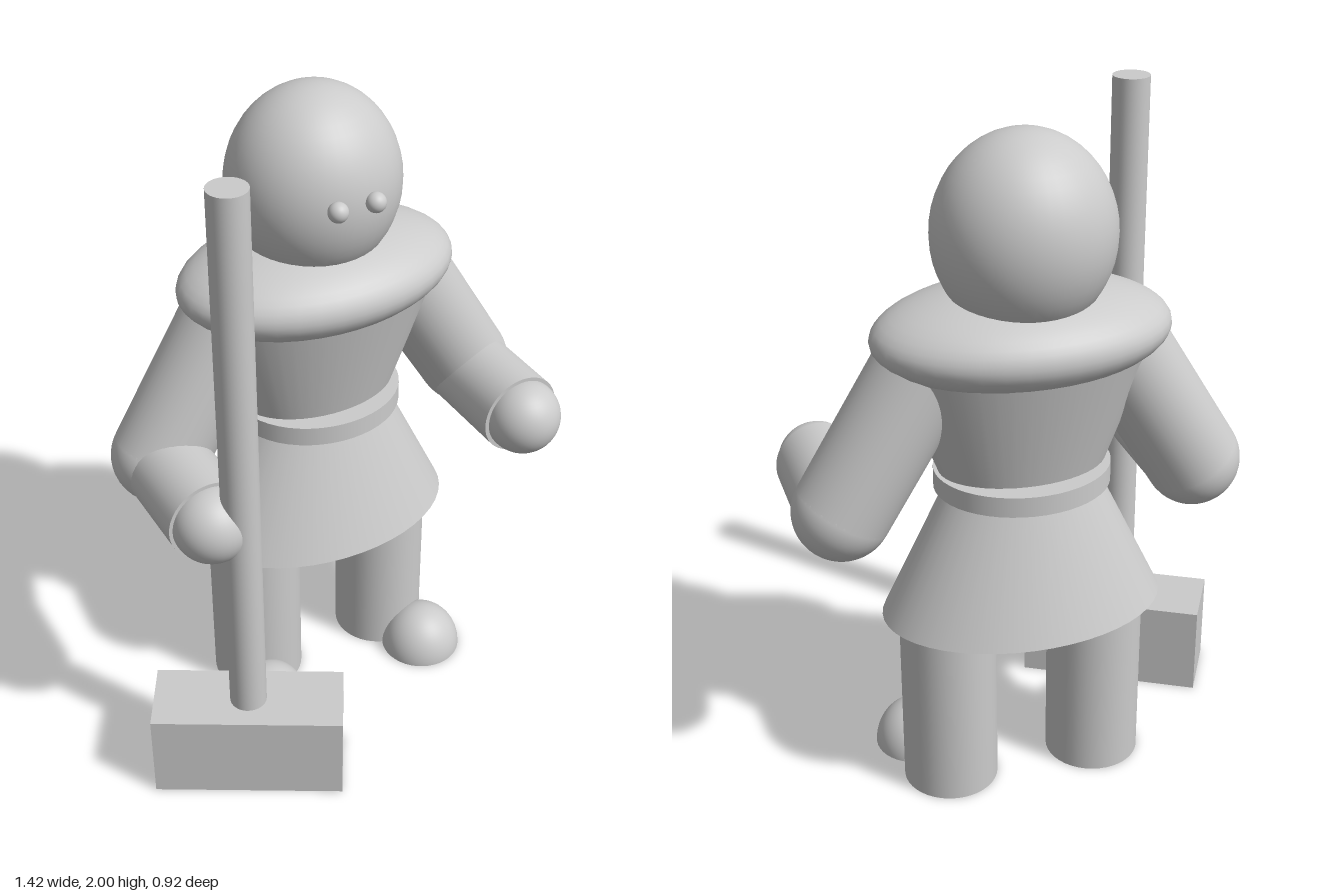
import * as THREE from 'three';

const CX = 0.047, CZ = -0.178; // axis of the body

export function createModel() {
  const group = new THREE.Group();
  const material = new THREE.MeshStandardMaterial({ color: 0xcccccc });

  function add(name, geometry, x, y, z) {
    const mesh = new THREE.Mesh(geometry, material);
    mesh.name = name;
    mesh.position.set(x, y, z);
    group.add(mesh);
    return mesh;
  }
  const ball = (name, x, y, z, rx, ry = rx, rz = rx) =>
    add(name, new THREE.SphereGeometry(1, 40, 24).scale(rx, ry, rz), x, y, z);

  // Oval frustum between two heights; depth is the ratio of z to x
  function frustum(name, y0, y1, r0, r1, depth) {
    const g = new THREE.CylinderGeometry(r1, r0, y1 - y0, 48).scale(1, 1, depth);
    return add(name, g, CX, (y0 + y1) / 2, CZ);
  }

  // Round bar between two points
  function bar(name, a, b, r) {
    const dir = b.clone().sub(a);
    const mid = a.clone().add(b).multiplyScalar(0.5);
    const mesh = add(name, new THREE.CylinderGeometry(r, r, dir.length(), 40), mid.x, mid.y, mid.z);
    mesh.quaternion.setFromUnitVectors(new THREE.Vector3(0, 1, 0), dir.normalize());
    return mesh;
  }

  // Head and trunk
  ball('head', CX, 1.72, -0.193, 0.253, 0.28, 0.241);
  ball('collar', CX, 1.438, CZ, 0.424, 0.14, 0.283);
  frustum('torso', 1.0, 1.44, 0.23, 0.396, 0.65);
  frustum('belt', 0.975, 1.035, 0.255, 0.255, 0.86);
  frustum('skirt', 0.58, 1.0, 0.417, 0.215, 0.68);

  // Mirrored parts
  for (const [side, s] of [['left', 1], ['right', -1]]) {
    const at = (x, y, z) => new THREE.Vector3(CX + s * x, y, z);
    ball(side + 'Eye', CX + s * 0.058, 1.745, 0.052, 0.029);

    // Arm bent forward at the elbow
    const elbow = at(0.523, 0.963, CZ);
    bar(side + 'UpperArm', at(0.262, 1.39, CZ), elbow, 0.141);
    ball(side + 'Elbow', elbow.x, elbow.y, elbow.z, 0.141);
    bar(side + 'Forearm', at(0.519, 0.95, CZ), at(0.519, 0.95, 0.152), 0.126);
    ball(side + 'Hand', CX + s * 0.52, 0.95, 0.163, 0.115);

    // Leg and domed foot
    bar(side + 'Leg', at(0.228, 0, CZ), at(0.228, 0.62, CZ), 0.142);
    const dome = new THREE.SphereGeometry(1, 40, 14, 0, Math.PI * 2, 0, Math.PI / 2);
    add(side + 'Foot', dome.scale(0.127, 0.14, 0.127), CX + s * 0.287, 0, 0.007);
    const sole = add(side + 'Sole', new THREE.CircleGeometry(0.127, 40), CX + s * 0.287, 0, 0.007);
    sole.rotation.x = Math.PI / 2;
  }

  // Long hammer resting on its head
  bar('hammerHandle', new THREE.Vector3(-0.41, 0.2, 0.219), new THREE.Vector3(-0.41, 2, 0.219), 0.055);
  const block = add('hammerHead', new THREE.BoxGeometry(0.568, 0.285, 0.224), -0.41, 0.1425, 0.219);
  block.rotation.y = -Math.PI / 6;

  return group;
}
